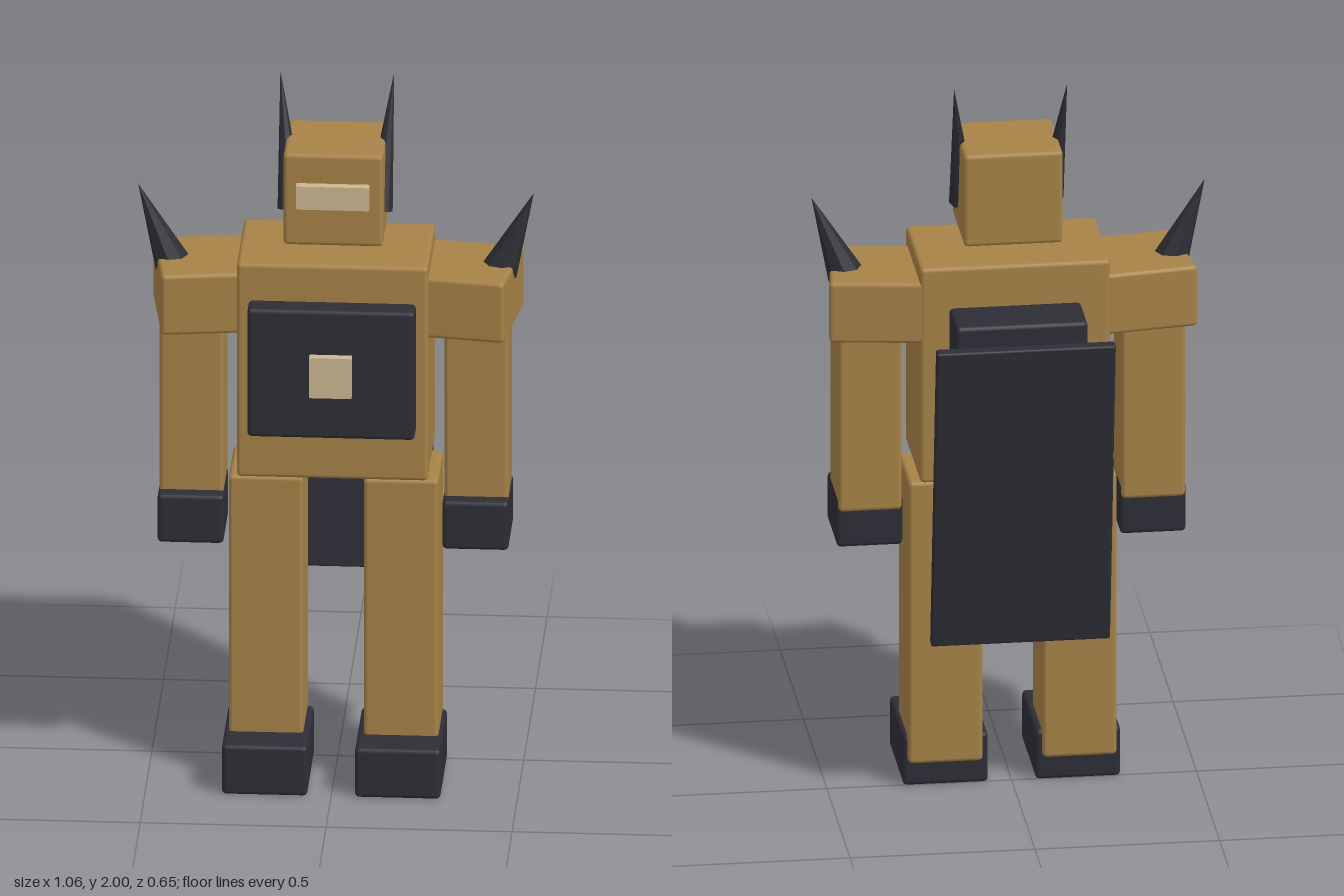
import * as THREE from 'three';
import { RoundedBoxGeometry } from 'three/addons/geometries/RoundedBoxGeometry.js';

const material = (name, color, flatShading = false) => {
  const m = new THREE.MeshStandardMaterial({ color, flatShading });
  m.name = name;
  return m;
};

export function createModel() {
  const gold = material('gold', 0xa68246);
  const dark = material('charcoal', 0x2d2d36);
  const cream = material('cream', 0xcbb78f);
  const model = new THREE.Group();
  model.name = 'armouredRobot';

  const add = (name, geometry, mat) => {
    const mesh = new THREE.Mesh(geometry, mat);
    mesh.name = name;
    model.add(mesh);
    return mesh;
  };

  // Box given by its min and max corners; radius 0 keeps it sharp
  const box = (name, mat, [x0, y0, z0], [x1, y1, z1], radius = 0.012) => {
    const size = [x1 - x0, y1 - y0, z1 - z0];
    const geometry = radius
      ? new RoundedBoxGeometry(...size, 2, radius)
      : new THREE.BoxGeometry(...size);
    const mesh = add(name, geometry, mat);
    mesh.position.set((x0 + x1) / 2, (y0 + y1) / 2, (z0 + z1) / 2);
    return mesh;
  };

  // Faceted cone from a base centre to a tip
  const spike = (name, base, tip, radius) => {
    const a = new THREE.Vector3(...base), b = new THREE.Vector3(...tip);
    const axis = b.clone().sub(a);
    const geometry = new THREE.ConeGeometry(radius, axis.length(), 8).toNonIndexed();
    geometry.computeVertexNormals();
    const mesh = add(name, geometry, dark);
    mesh.position.copy(a).add(b).multiplyScalar(0.5);
    mesh.quaternion.setFromUnitVectors(new THREE.Vector3(0, 1, 0), axis.normalize());
  };

  // Head and torso
  box('head', gold, [-0.134, 1.565, -0.045], [0.134, 1.83, 0.203]);
  box('visor', cream, [-0.098, 1.68, 0.18], [0.098, 1.747, 0.228], 0);
  box('torso', gold, [-0.257, 0.902, -0.08], [0.257, 1.523, 0.238]);
  box('chestPlate', dark, [-0.225, 1.045, 0.2], [0.225, 1.417, 0.301]);
  box('chestLamp', cream, [-0.057, 1.174, 0.27], [0.057, 1.29, 0.327], 0);

  // Backpack and slanted back panel
  box('backpack', dark, [-0.178, 1.02, -0.225], [0.178, 1.406, -0.07]);
  const panel = box('backPanel', dark, [-0.242, 0.473, -0.261], [0.242, 1.379, -0.229], 0.006);
  panel.rotation.x = -0.14;

  // Paired parts
  for (const [side, s] of [['left', 1], ['right', -1]]) {
    const pair = (name, mat, [x0, y0, z0], [x1, y1, z1]) =>
      box(side + name, mat,
        [Math.min(s * x0, s * x1), y0, z0], [Math.max(s * x0, s * x1), y1, z1]);

    const shoulder = pair('Shoulder', gold, [0.201, 1.305, -0.064], [0.481, 1.48, 0.216]);
    shoulder.rotation.y = -0.14 * s;
    pair('Arm', gold, [0.297, 0.8, -0.01], [0.469, 1.4, 0.172]);
    pair('Hand', dark, [0.294, 0.695, 0], [0.472, 0.835, 0.213]);
    pair('Leg', gold, [0.081, 0.07, -0.03], [0.282, 0.886, 0.19]);
    pair('Foot', dark, [0.064, 0, -0.008], [0.294, 0.143, 0.292]);

    spike(side + 'ShoulderSpike', [s * 0.439, 1.455, 0.077], [s * 0.532, 1.682, 0.077], 0.05);
    spike(side + 'Horn', [s * 0.118, 1.638, 0.114], [s * 0.153, 2, 0.021], 0.037);
  }
  return model;
}
